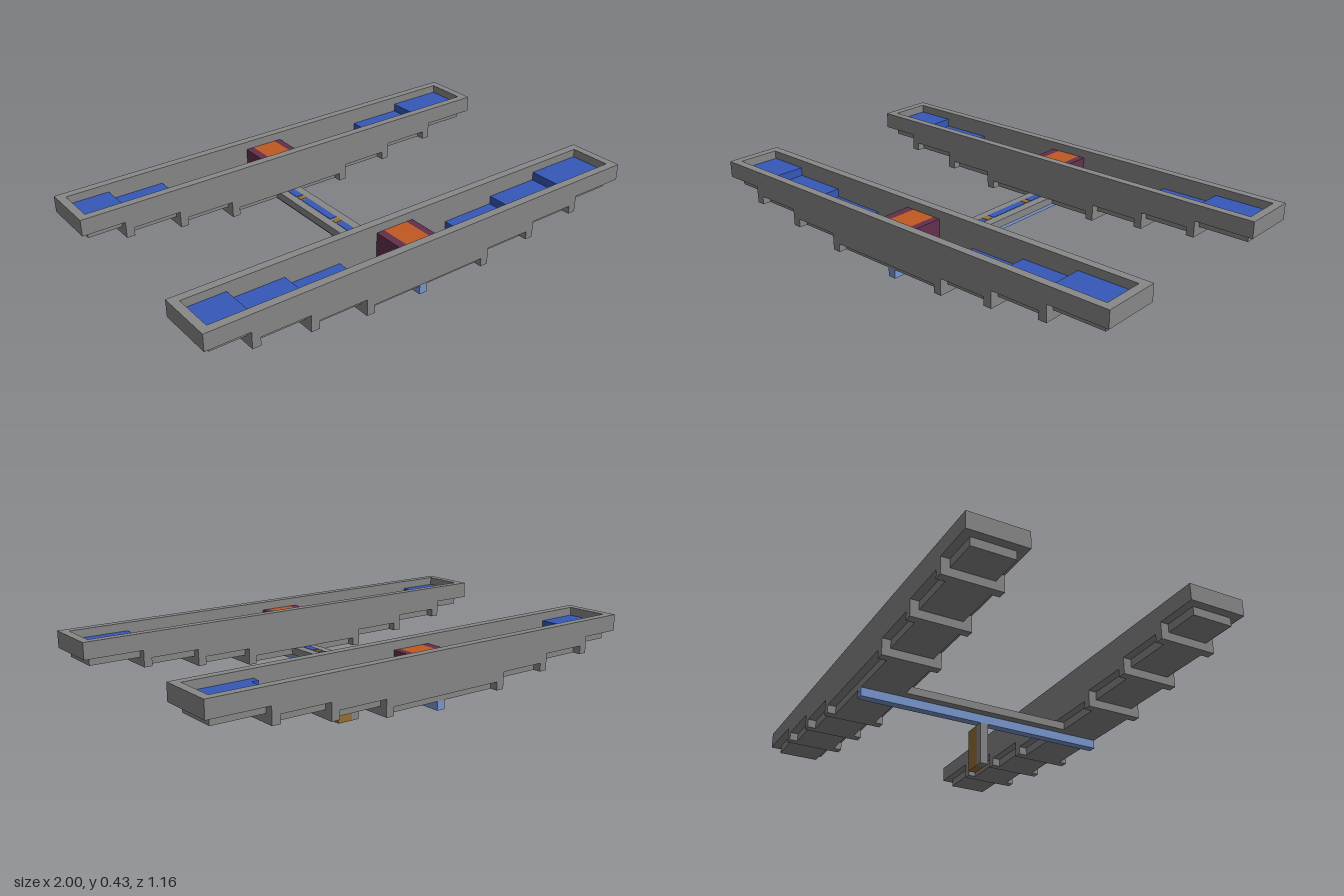
import * as THREE from 'three';

const mat = (name, color) => new THREE.MeshStandardMaterial({ name, color });

export function createModel() {
  const grey = mat('hull grey', 0x888888);
  const blue = mat('deck blue', 0x3558b8);
  const paleBlue = mat('keel pale blue', 0x7a98d0);
  const orange = mat('hatch orange', 0xc05a22);
  const maroon = mat('hatch trim maroon', 0x63304c);
  const brown = mat('wood brown', 0x966f35);
  const model = new THREE.Group();
  model.name = 'twinHullPlatform';

  // Box given by its limits on each axis
  function box(parent, name, material, x0, x1, y0, y1, z0, z1) {
    const mesh = new THREE.Mesh(new THREE.BoxGeometry(x1 - x0, y1 - y0, z1 - z0), material);
    mesh.position.set((x0 + x1) / 2, (y0 + y1) / 2, (z0 + z1) / 2);
    mesh.name = name;
    parent.add(mesh);
  }

  const T = 0.035; // wall thickness and step height
  const HALF = 0.123; // half the hull width
  const IN = HALF - T;
  // Stepped hull: left end, right end, wall bottom
  const steps = [
    [-1, 1, 0.355],
    [-0.82, 0.75, 0.32],
    [-0.58, 0.505, 0.285],
    [-0.335, 0.26, 0.25],
  ];

  function makeHull(name, z) {
    const hull = new THREE.Group();
    hull.name = name;
    hull.position.z = z;
    steps.forEach(([a, b, y], k) => {
      const top = k ? steps[k - 1][2] : 0.425;
      for (const s of [-1, 1]) {
        const zc = s * (HALF - T / 2);
        box(hull, 'sideWall', grey, a, b, y, top, zc - T / 2, zc + T / 2);
      }
      // End walls; lower ones also form the lip of the step
      const low = k ? y - T : y;
      box(hull, 'endWall', grey, a, a + T, low, top, -HALF, HALF);
      box(hull, 'endWall', grey, b - T, b, low, top, -HALF, HALF);
      // Floor plates with the blue deck on top
      const next = steps[k + 1];
      const spans = next
        ? [[a + T, next[0] + T], [next[1] - T, b - T]]
        : [[a + T, b - T]];
      for (const [x0, x1] of spans) {
        box(hull, 'floorPlate', grey, x0, x1, y - T, y, -IN, IN);
        box(hull, 'deck', blue, x0, x1, y, y + T, -IN, IN);
      }
    });
    // Central hatch with darker trim
    box(hull, 'hatch', orange, -0.09, 0.02, 0.25, 0.39, -IN, IN);
    box(hull, 'hatchTrim', maroon, -0.125, -0.09, 0.25, 0.39, -IN, IN);
    box(hull, 'hatchTrim', maroon, 0.02, 0.05, 0.25, 0.39, -IN, IN);
    model.add(hull);
    return hull;
  }

  makeHull('frontHull', 0.457);
  const back = makeHull('backHull', -0.457);
  // Small deck extensions at two steps of the back hull
  box(back, 'deckCorner', blue, 0.44, 0.47, 0.285, 0.355, IN - T, IN);
  box(back, 'deckCorner', blue, 0.685, 0.715, 0.32, 0.39, IN - T, IN);

  // Bridge with inlaid strips and pegs
  box(model, 'bridge', grey, -0.09, 0.015, 0.215, 0.248, -0.37, 0.37);
  for (const [z0, z1] of [[-0.335, -0.268], [-0.228, -0.025], [0.02, 0.222], [0.265, 0.335]])
    box(model, 'bridgeStrip', blue, -0.055, -0.022, 0.244, 0.25, z0, z1);
  for (const z of [-0.25, 0, 0.245])
    box(model, 'bridgePeg', brown, -0.055, -0.022, 0.244, 0.25, z - 0.013, z + 0.013);

  // Keel and rudder below the bridge
  box(model, 'keel', paleBlue, -0.055, -0.02, 0.178, 0.215, -0.545, 0.545);
  box(model, 'rudderPost', grey, -0.055, -0.02, 0, 0.178, -0.0175, 0.0175);
  box(model, 'rudderBlade', brown, -0.02, 0.05, 0, 0.178, -0.0175, 0.0175);

  return model;
}
